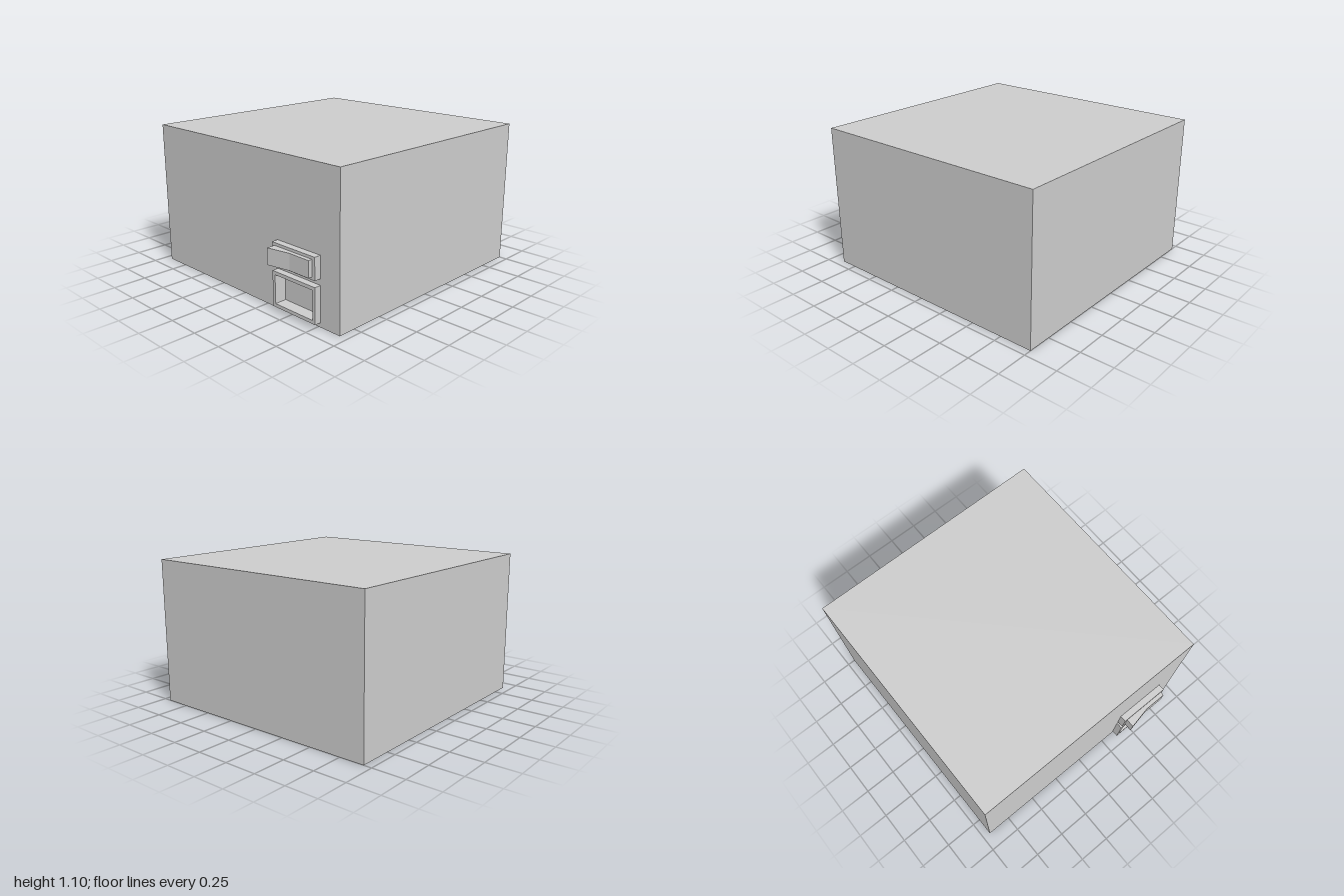
import * as THREE from 'three';
import { mergeGeometries } from 'three/addons/utils/BufferGeometryUtils.js';

const SIDE = -0.885; // x of the case side carrying the fittings
const RIM = 0.05; // how far the fittings stand out
const Z0 = 0.365, Z1 = 0.77; // shared extent of both fittings

// Rectangle on the side wall: u runs along z, v along y
function rect(Type, u0, u1, v0, v1) {
  return new Type([[u0, v0], [u1, v0], [u1, v1], [u0, v1]].map(([u, v]) => new THREE.Vector2(u, v)));
}

// Box given by its limits, optionally without its -x face
function box(x0, x1, y0, y1, z0, z1, open = false) {
  const g = new THREE.BoxGeometry(x1 - x0, y1 - y0, z1 - z0);
  g.translate((x0 + x1) / 2, (y0 + y1) / 2, (z0 + z1) / 2);
  if (open) {
    const index = Array.from(g.index.array);
    index.splice(6, 6);
    g.setIndex(index);
    g.clearGroups();
  }
  return g;
}

// Turn a flat shape or extrusion so that it faces -x on the side wall
const toSide = (g) => g.rotateY(-Math.PI / 2).translate(SIDE, 0, 0);

export function createModel() {
  const model = new THREE.Group();
  const grey = new THREE.MeshStandardMaterial({ color: 0xcccccc, flatShading: true });
  const thin = grey.clone();
  thin.side = THREE.DoubleSide;
  const add = (name, geometry, material = grey) => {
    const mesh = new THREE.Mesh(geometry, material);
    mesh.name = name;
    model.add(mesh);
  };

  const inset = 0.025;
  const hole = [Z0 + inset, Z1 - inset, 0.06, 0.27];

  // Case: a box whose side wall is cut open for the socket
  const wall = rect(THREE.Shape, -0.94, 0.94, 0, 1.1);
  wall.holes.push(rect(THREE.Path, ...hole));
  add('case', mergeGeometries([
    box(SIDE, 1, 0, 1.1, -0.94, 0.94, true),
    toSide(new THREE.ShapeGeometry(wall)),
  ]));

  // Socket: raised rim and the pocket sunk into the case
  const rim = rect(THREE.Shape, Z0, Z1, 0.035, 0.295);
  rim.holes.push(rect(THREE.Path, ...hole));
  add('socketRim', toSide(new THREE.ExtrudeGeometry(rim, { depth: RIM, bevelEnabled: false })));
  add('socketPocket', box(SIDE, SIDE + 0.04, hole[2], hole[3], hole[0], hole[1], true), thin);

  // Switch: base plate and a rocker with one end tilted out
  add('switchBase', box(SIDE - RIM, SIDE, 0.34, 0.5, Z0, Z1));
  const profile = new THREE.Shape([
    [SIDE - RIM, 0.39], [SIDE - RIM, 0.745], [-0.965, 0.745], [-0.965, 0.57], [-1, 0.39],
  ].map(([x, z]) => new THREE.Vector2(x, z)));
  const rocker = new THREE.ExtrudeGeometry(profile, { depth: 0.12, bevelEnabled: false });
  add('switchRocker', rocker.rotateX(Math.PI / 2).translate(0, 0.48, 0));

  return model;
}
